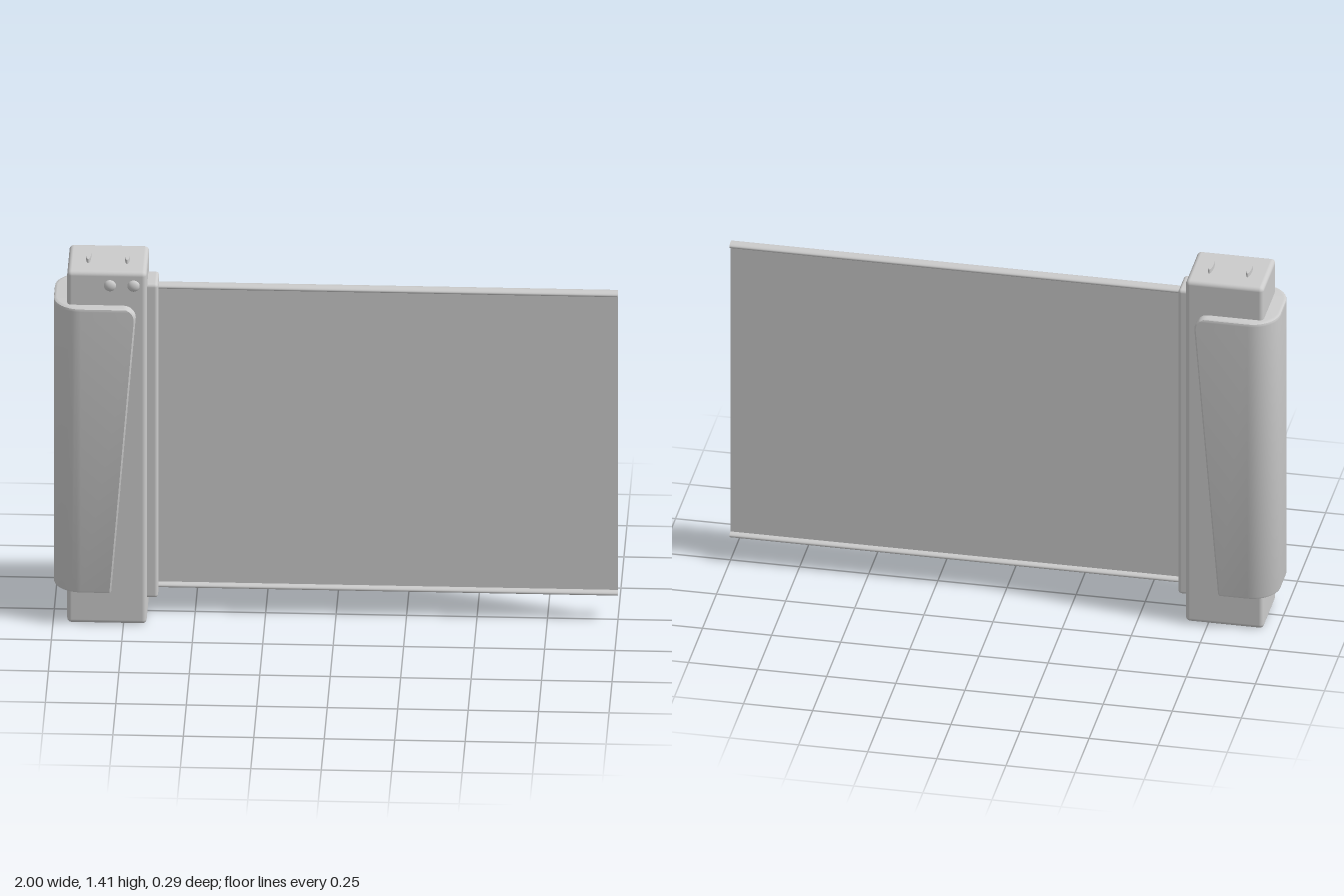
import * as THREE from 'three';
import { toCreasedNormals } from 'three/addons/utils/BufferGeometryUtils.js';
import { RoundedBoxGeometry } from 'three/addons/geometries/RoundedBoxGeometry.js';

const material = new THREE.MeshStandardMaterial({ color: 0xcccccc });

function add(parent, name, geometry, x = 0, y = 0, z = 0) {
  const mesh = new THREE.Mesh(geometry, material);
  mesh.name = name;
  mesh.position.set(x, y, z);
  parent.add(mesh);
  return mesh;
}

// Rounded box given by its limits
function block(parent, name, [x0, x1], [y0, y1], [z0, z1], radius) {
  const geometry = new RoundedBoxGeometry(x1 - x0, y1 - y0, z1 - z0, 4, radius);
  return add(parent, name, geometry, (x0 + x1) / 2, (y0 + y1) / 2, (z0 + z1) / 2);
}

// Horizontal section of the grip: round at the outer side, cut off at xEnd
function gripSection(y, inset, xEnd) {
  const r = 0.1, half = 0.147 - inset, left = -1 + inset, edge = 0.006;
  const points = [[xEnd, half - edge], [xEnd - edge, half]];
  for (let i = 0; i <= 10; i++) {
    const a = (i / 10) * Math.PI / 2;
    points.push([left + r - r * Math.sin(a), half - r + r * Math.cos(a)]);
  }
  const mirrored = points.map(([x, z]) => [x, -z]).reverse();
  return [...points, ...mirrored].map(([x, z]) => new THREE.Vector3(x, y, z));
}

// Skin over stacked sections, closed at both ends
function loft(rows) {
  const n = rows[0].length, vertices = [];
  const tri = (...corners) => corners.forEach((p) => vertices.push(p.x, p.y, p.z));
  for (let j = 0; j < rows.length - 1; j++) {
    const low = rows[j], high = rows[j + 1];
    for (let i = 0; i < n; i++) {
      const k = (i + 1) % n;
      tri(low[i], high[i], low[k]);
      tri(low[k], high[i], high[k]);
    }
  }
  const bottom = rows[0], top = rows[rows.length - 1];
  for (let i = 1; i < n - 1; i++) {
    tri(bottom[0], bottom[i], bottom[i + 1]);
    tri(top[0], top[i + 1], top[i]);
  }
  const geometry = new THREE.BufferGeometry();
  geometry.setAttribute('position', new THREE.Float32BufferAttribute(vertices, 3));
  return toCreasedNormals(geometry, 0.6);
}

function gripGeometry() {
  const rows = [
    gripSection(0.135, 0.008, -0.795),
    gripSection(0.138, 0.002, -0.793),
    gripSection(0.145, 0, -0.792),
  ];
  // Slanted front edge ending in a rounded upper corner
  const r = 0.045, yTop = 1.26;
  for (let i = 0; i <= 8; i++) {
    const a = (i / 8) * Math.PI / 2;
    const inset = 0.01 * Math.max(0, (i - 5) / 3) ** 2;
    rows.push(gripSection(yTop - r + r * Math.sin(a), inset, -0.706 - r + r * Math.cos(a)));
  }
  return loft(rows);
}

export function createModel() {
  const model = new THREE.Group();
  model.name = 'rollScreenDevice';

  // Upright housing with wrap-around grip
  block(model, 'housing', [-0.95, -0.668], [0, 1.39], [-0.114, 0.114], 0.016);
  add(model, 'grip', gripGeometry());

  // Collar the screen slides out of
  block(model, 'collar', [-0.7, -0.63], [0.077, 1.317], [-0.057, 0.057], 0.012);

  // Thin screen held between two oval rails
  add(model, 'screen', new THREE.BoxGeometry(1.64, 1.18, 0.006), 0.18, 0.698, 0);
  for (const [name, y] of [['lowerRail', 0.108], ['upperRail', 1.288]]) {
    const rail = new THREE.CylinderGeometry(0.01, 0.01, 1.64, 24);
    rail.rotateZ(Math.PI / 2).scale(1, 1, 2.1);
    add(model, name, rail, 0.18, y, 0);
  }

  // Domed buttons on the front
  for (const x of [-0.798, -0.714]) {
    const dome = new THREE.SphereGeometry(0.022, 24, 10, 0, Math.PI * 2, 0, Math.PI / 2);
    dome.rotateX(Math.PI / 2).scale(1, 1, 0.65);
    add(model, 'frontButton', dome, x, 1.338, 0.113);
  }

  // Oval tabs on the top
  for (const x of [-0.878, -0.74]) {
    const tab = new THREE.CylinderGeometry(0.009, 0.009, 0.03, 24);
    tab.scale(1, 1, 4.8);
    add(model, 'topTab', tab, x, 1.391, 0);
  }

  return model;
}
